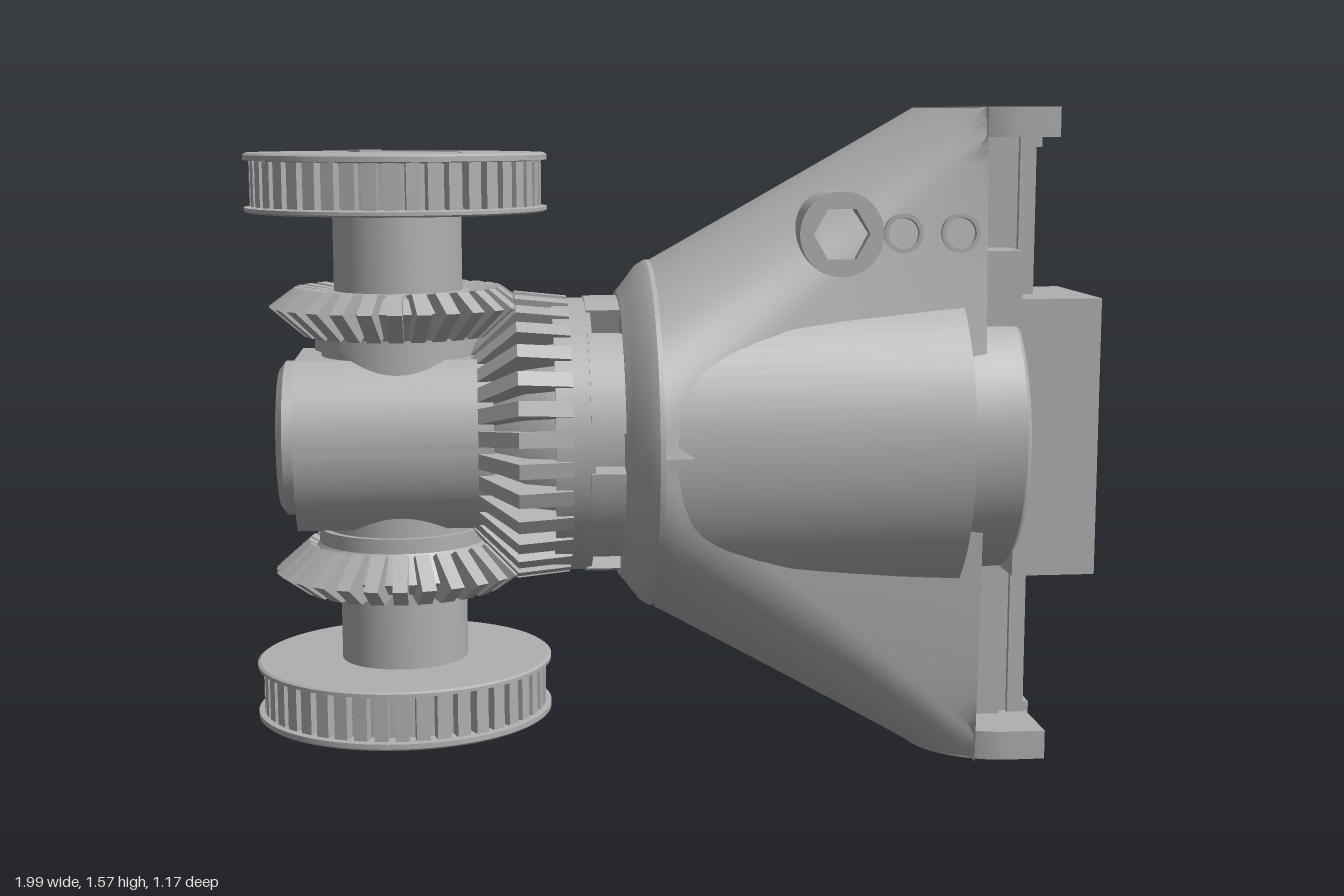
import * as THREE from 'three';
import { mergeGeometries, toCreasedNormals } from 'three/addons/utils/BufferGeometryUtils.js';

const steel = new THREE.MeshStandardMaterial({ color: 0xb0b0b0 });
steel.name = 'machined grey';

const HALF = 0.785; // half of the overall height
const V = (r, a) => new THREE.Vector2(r, a);

function add(parent, name, geometry) {
  const mesh = new THREE.Mesh(geometry, steel);
  mesh.name = name;
  parent.add(mesh);
  return mesh;
}

// Turned part about y; each point is [radius, height]
const turned = (pts, seg = 64) =>
  toCreasedNormals(new THREE.LatheGeometry(pts.map(p => V(...p)), seg), 0.5);

// Turned part about the main axis x
const turnedX = (pts, seg) => turned(pts, seg).rotateZ(-Math.PI / 2);

function box(x0, x1, y0, y1, z0, z1) {
  return new THREE.BoxGeometry(x1 - x0, y1 - y0, z1 - z0)
    .translate((x0 + x1) / 2, (y0 + y1) / 2, (z0 + z1) / 2);
}

function circlePath(x, y, r) {
  const p = new THREE.Path();
  p.absarc(x, y, r, 0, Math.PI * 2, true);
  return p;
}

const extrude = (shape, depth) =>
  new THREE.ExtrudeGeometry(shape, { depth, bevelEnabled: false, curveSegments: 24 });

// Plate facing +x with round holes at [z, y]
function drilledPlate(x0, x1, h, w, holes, r) {
  const s = new THREE.Shape([V(-w, -h), V(w, -h), V(w, h), V(-w, h)]);
  holes.forEach(([z, y]) => s.holes.push(circlePath(-z, y, r)));
  return extrude(s, x1 - x0).rotateY(Math.PI / 2).translate(x0, 0, 0);
}

// Socket screw head along +x
const screw = (x, y, z, r = 0.026) => turnedX([[r, 0], [r, 0.03], [r * 0.55, 0.03],
  [r * 0.55, 0.01], [0, 0.01]], 16).translate(x, y, z);

// Ring of bevel teeth about y; the profile lists [radius, height]
function bevelTeeth(profile, count, width) {
  const s = new THREE.Shape(profile.map(p => V(...p)));
  const teeth = [];
  for (let i = 0; i < count; i++) {
    teeth.push(extrude(s, width).translate(0, 0, -width / 2).rotateY((i / count) * Math.PI * 2));
  }
  return mergeGeometries(teeth);
}

// Toothed belt pulley, shaft and bevel gear above the centre hub
function shaftAssembly() {
  const g = new THREE.Group();
  add(g, 'hubNeck', turned([[0, 0], [0.185, 0], [0.185, 0.215], [0.2, 0.215], [0.2, 0.255], [0, 0.255]]));
  add(g, 'bevelGearBlank', turned([[0, 0.25], [0.2, 0.25], [0.245, 0.315], [0.21, 0.345], [0.155, 0.355]]));
  add(g, 'bevelGearTeeth', bevelTeeth([[0.15, 0.29], [0.225, 0.248], [0.305, 0.318], [0.245, 0.362], [0.15, 0.35]], 28, 0.034));
  add(g, 'shaft', turned([[0.152, 0.3], [0.152, 0.678], [0, 0.678]]));
  add(g, 'pulley', turned([[0.14, 0.54], [0.35, 0.54], [0.356, 0.544], [0.356, 0.552], [0.315, 0.556],
    [0.315, 0.658], [0.356, 0.662], [0.356, 0.674], [0.35, 0.679], [0.16, 0.679], [0.16, 0.66], [0.15, 0.66]], 72));
  const teeth = [];
  for (let i = 0; i < 44; i++) {
    teeth.push(box(0.3, 0.342, 0.555, 0.66, -0.016, 0.016).rotateY((i / 44) * Math.PI * 2));
  }
  add(g, 'pulleyTeeth', mergeGeometries(teeth));
  add(g, 'shaftKey', box(-0.03, 0.03, 0.6, 0.684, -0.17, -0.115).rotateY(0.58));
  return g;
}

// Flared half of the housing: circle at the collar blended into the tall rounded end
function flare() {
  const N = 32, M = 24, R = 0.42, r = 0.215, front = 1.37, pos = [], idx = [];
  const cols = N + 3;
  for (let j = 0; j <= M; j++) {
    const t = j / M, s = t * (2 - t);
    for (let i = 0; i <= N; i++) {
      const a = (i / N - 0.5) * Math.PI;
      const x = 0.6 * (1 - t) + (1.46 - r * Math.cos(a)) * t;
      pos.push(Math.min(x, front), R * Math.cos(a) * (1 - t) + HALF * t, Math.sin(a) * (R + (r - R) * s));
    }
    const w = 0.27 - 0.045 * t;
    pos.push(front, HALF * t, w, front, HALF * t, -w);
  }
  for (let j = 0; j < M; j++) {
    for (let i = 0; i < cols; i++) {
      const k = (i + 1) % cols;
      const a = j * cols + i, b = j * cols + k, c = b + cols, d = a + cols;
      idx.push(a, b, c, a, c, d);
    }
  }
  const geo = new THREE.BufferGeometry();
  geo.setAttribute('position', new THREE.Float32BufferAttribute(pos, 3));
  geo.setIndex(idx);
  return toCreasedNormals(geo, 0.6);
}

// One half of the housing; the other is the same turned half round the main axis
function housingHalf() {
  const g = new THREE.Group();
  add(g, 'housingFlare', flare());

  // Overhanging end cap with a rounded back
  const cap = new THREE.Shape();
  cap.moveTo(1.545, -0.218);
  cap.lineTo(1.545, 0.218);
  cap.lineTo(1.46, 0.218);
  cap.absarc(1.46, 0, 0.218, Math.PI / 2, Math.PI * 1.5, false);
  add(g, 'endCap', toCreasedNormals(extrude(cap, 0.07).rotateX(-Math.PI / 2), 0.5).translate(0, HALF - 0.07, 0));
  add(g, 'railEnd', box(1.5, 1.55, 0.69, 0.75, -0.045, 0.045));

  // Rims of the side bores
  for (const x of [1.17, 1.305]) {
    add(g, 'boreRim', turned([[0.046, -0.04], [0.046, 0.008], [0.036, 0.008], [0.034, -0.01], [0, -0.01]], 24)
      .rotateX(Math.PI / 2).translate(x, 0.495, 0.245));
  }
  add(g, 'carriagePlate', box(1.36, 1.468, 0, 0.45, 0.075, 0.2));
  return g;
}

// Clamp boss with a hexagonal socket
function clampBoss() {
  const ring = new THREE.Shape();
  ring.absarc(0, 0, 0.098, 0, Math.PI * 2, false);
  const hex = [];
  for (let i = 0; i < 6; i++) hex.push(V(0.066 * Math.cos(-i * Math.PI / 3), 0.066 * Math.sin(-i * Math.PI / 3)));
  ring.holes.push(new THREE.Path(hex));
  return toCreasedNormals(extrude(ring, 0.18), 0.5).translate(1.02, 0.495, 0.1);
}

export function createModel() {
  const model = new THREE.Group();
  model.name = 'differentialWrist';
  const body = new THREE.Group();
  body.name = 'wristBody';
  body.position.set(-0.64, HALF + 0.001, -0.235);
  body.rotation.y = -18.2 * Math.PI / 180;
  model.add(body);

  // Upper and lower drive
  const upper = shaftAssembly();
  upper.name = 'upperDrive';
  const lower = shaftAssembly();
  lower.name = 'lowerDrive';
  lower.rotation.x = Math.PI;
  body.add(upper, lower);

  // Centre hub: round body with flats above and below, and a screwed end
  const hub = new THREE.Shape();
  const flat = Math.asin(0.2 / 0.25);
  hub.absarc(0, 0, 0.25, -flat, flat, false);
  hub.absarc(0, 0, 0.25, Math.PI - flat, Math.PI + flat, false);
  add(body, 'centreHub', toCreasedNormals(extrude(hub, 0.46), 0.5).rotateY(Math.PI / 2).translate(-0.24, 0, 0));
  add(body, 'hubEnd', turnedX([[0, -0.25], [0.125, -0.25], [0.125, -0.285], [0.165, -0.285], [0.185, -0.27],
    [0.185, -0.2], [0, -0.2]]));
  for (let i = 0; i < 4; i++) {
    const a = i * Math.PI / 2;
    const s = add(body, 'hubScrew', screw(0, 0, 0, 0.045));
    s.rotation.y = Math.PI;
    s.position.set(-0.248, 0.073 * Math.cos(a), 0.073 * Math.sin(a));
  }

  // Main bevel gear
  add(body, 'mainGearBlank', turnedX([[0, 0.2], [0.22, 0.2], [0.295, 0.29], [0.31, 0.36], [0.33, 0.36], [0.33, 0.45], [0, 0.45]]));
  add(body, 'mainGearTeeth', bevelTeeth([[0.2, 0.26], [0.235, 0.17], [0.348, 0.275], [0.335, 0.4], [0.2, 0.4]], 30, 0.036)
    .rotateZ(-Math.PI / 2));

  // Slotted collar
  add(body, 'collarCore', turnedX([[0, 0.44], [0.275, 0.44], [0.275, 0.56], [0, 0.56]]));
  for (let i = 0; i < 6; i++) {
    const a0 = i * Math.PI / 3 + 0.14, a1 = (i + 1) * Math.PI / 3 - 0.14;
    const s = new THREE.Shape();
    s.absarc(0, 0, 0.335, a0, a1, false);
    s.absarc(0, 0, 0.26, a1, a0, true);
    add(body, 'collarSegment', toCreasedNormals(extrude(s, 0.09), 0.5).rotateY(Math.PI / 2).translate(0.44, 0, 0));
  }

  // Round housing and front bearing disc
  add(body, 'housing', turnedX([[0, 0.52], [0.345, 0.52], [0.362, 0.535], [0.408, 0.57], [0.42, 0.59],
    [0.42, 1.315], [0.345, 1.315], [0.345, 1.455], [0.335, 1.465], [0, 1.465]], 96));

  // Tall end of the housing with its rail, set slightly to the left of the axis
  const column = new THREE.Group();
  column.name = 'railColumn';
  column.position.z = 0.013;
  body.add(column);
  const top = housingHalf();
  top.name = 'upperHousing';
  const bottom = housingHalf();
  bottom.name = 'lowerHousing';
  bottom.rotation.x = Math.PI;
  column.add(top, bottom);
  add(column, 'clampBoss', clampBoss());

  // Linear rail
  const railY = [-0.675, -0.447, 0.447, 0.675];
  add(column, 'railBase', box(1.36, 1.47, -0.73, 0.73, -0.06, 0.06));
  add(column, 'railNeck', box(1.46, 1.5, -0.73, 0.73, -0.035, 0.035));
  add(column, 'railHead', drilledPlate(1.495, 1.535, 0.73, 0.05, railY.map(y => [0, y]), 0.032));
  railY.forEach(y => add(column, 'railScrew', screw(1.495, y, 0)));

  // Tool block with eight screws
  const holes = [];
  for (const z of [-0.093, 0.093]) for (const y of [-0.229, -0.108, 0.108, 0.229]) holes.push([z, y]);
  const block = new THREE.Group();
  block.name = 'toolBlock';
  block.position.z = 0.014;
  body.add(block);
  add(block, 'blockCore', box(1.462, 1.623, -0.335, 0.335, -0.186, 0.186));
  add(block, 'blockFace', drilledPlate(1.623, 1.665, 0.335, 0.186, holes, 0.032));
  holes.forEach(([z, y]) => add(block, 'blockScrew', screw(1.62, y, z)));

  return model;
}
